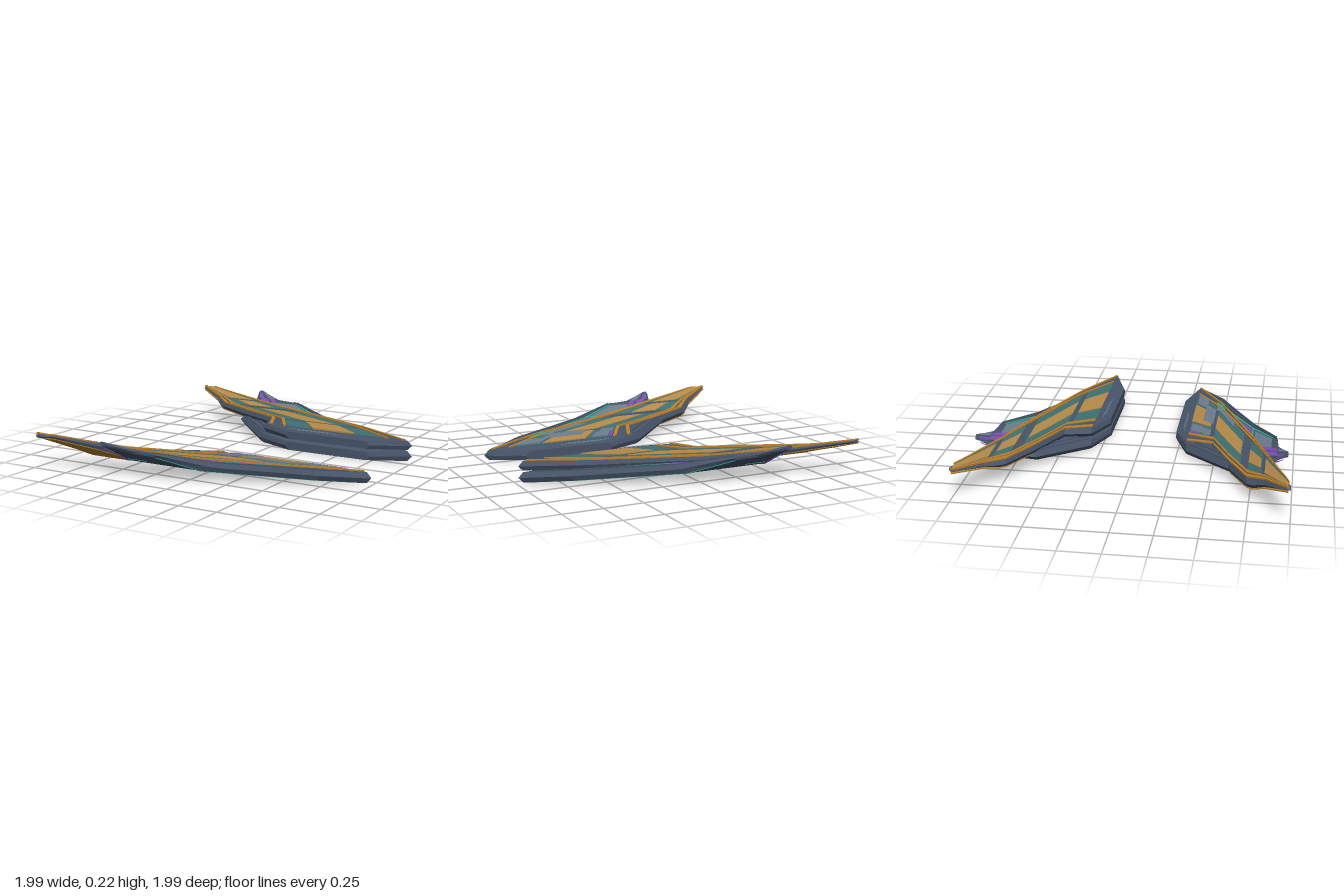
import * as THREE from 'three';

const material = (name, hex) => {
  const m = new THREE.MeshStandardMaterial({ color: hex });
  m.name = name;
  return m;
};
const slate = material('slate', 0x475468);
const teal = material('teal', 0x3f7072);
const gold = material('gold', 0xb58a4a);
const amber = material('amber', 0xb8802c);
const blueGrey = material('blue grey', 0x6b7d8d);
const purple = material('purple', 0x7d4fb5);
const mint = material('mint', 0x2fa890);

// A path lists [s, value] pairs, where s is the distance from the centre line.
const curve = (path) => (s) => {
  if (s <= path[0][0]) return path[0][1];
  for (let i = 1; i < path.length; i++) {
    const [a, u] = path[i - 1], [b, v] = path[i];
    if (s <= b) return u + (v - u) * (s - a) / (b - a);
  }
  return path[path.length - 1][1];
};
const raise = (f, d) => (s) => f(s) + d;

// Plan edges (x along s) of the two stacked wing plates
const broad = {
  left: [[0.22, 0.12], [0.31, -0.13], [0.6, -0.45], [0.74, -0.475], [0.85, -0.48], [0.968, -0.51]],
  right: [[0.22, 0.74], [0.31, 0.99], [0.49, 0.74], [0.895, -0.14], [0.905, -0.28], [0.968, -0.46]],
};
const slim = {
  left: [[0.22, 0.12], [0.31, -0.1], [0.48, -0.16], [0.6, -0.44], [0.73, -0.7], [0.84, -0.8], [0.975, -1], [0.995, -0.98]],
  right: [[0.22, 0.74], [0.31, 0.99], [0.5, 0.62], [0.73, 0], [0.93, -0.72], [0.995, -0.94]],
};

// Height profiles along s
const broadTop = [[0.22, 0.065], [0.31, 0.08], [0.73, 0.13], [0.9, 0.185], [0.97, 0.232]];
const broadBottom = [[0.22, 0.01], [0.33, 0.018], [0.77, 0.08], [0.97, 0.205]];
const slimTopHigh = [[0.22, 0.135], [0.31, 0.148], [0.73, 0.162], [0.84, 0.178], [0.99, 0.218]];
const slimBottomHigh = [[0.22, 0.085], [0.33, 0.09], [0.77, 0.12], [0.99, 0.2]];
const slimTopLow = [[0.22, 0.067], [0.31, 0.084], [0.73, 0.134], [0.97, 0.226]];
const slimBottomLow = [[0.22, 0.012], [0.33, 0.02], [0.77, 0.082], [0.97, 0.205]];

const paths = [broad.left, broad.right, slim.left, slim.right, broadTop, broadBottom,
  slimTopHigh, slimBottomHigh, slimTopLow, slimBottomLow];
const knots = [...new Set(paths.flat().map((p) => p[0]))].sort((a, b) => a - b);

// Solid lofted along s from bevelled six-sided sections
function loft(left, right, bottom, top, s0, s1, bevel, side) {
  const stations = [s0, ...knots.filter((k) => k > s0 + 1e-4 && k < s1 - 1e-4), s1];
  const rings = stations.map((s) => {
    const l = left(s), r = right(s), b = bottom(s), t = top(s), m = (b + t) / 2;
    const e = Math.min(bevel, (r - l) * 0.3);
    return [[l, m], [l + e, t], [r - e, t], [r, m], [r - e, b], [l + e, b]].map(([x, y]) => [x, y, s * side]);
  });
  const pos = [];
  const tri = (a, b, c) => pos.push(...a, ...(side > 0 ? b : c), ...(side > 0 ? c : b));
  for (let k = 0; k + 1 < rings.length; k++) {
    const A = rings[k], B = rings[k + 1];
    for (let i = 0; i < 6; i++) {
      const j = (i + 1) % 6;
      tri(A[i], B[j], A[j]);
      tri(A[i], B[i], B[j]);
    }
  }
  const first = rings[0], last = rings[rings.length - 1];
  for (let i = 1; i < 5; i++) {
    tri(first[0], first[i], first[i + 1]);
    tri(last[0], last[i + 1], last[i]);
  }
  const g = new THREE.BufferGeometry();
  g.setAttribute('position', new THREE.Float32BufferAttribute(pos, 3));
  g.computeVertexNormals();
  return g;
}

// One plate plus a painter for thin panels, placed by fractions across its width
function makePlate(group, name, plan, bottom, top, side) {
  const L = curve(plan.left), R = curve(plan.right), yb = curve(bottom), yt = curve(top);
  const add = (label, mat, geometry) => {
    const mesh = new THREE.Mesh(geometry, mat);
    mesh.name = label;
    group.add(mesh);
  };
  const end = plan.left[plan.left.length - 1][0];
  add(name, slate, loft(L, R, yb, yt, 0.22, end, 0.03, side));
  const across = (t) => (s) => L(s) + (R(s) - L(s)) * (typeof t === 'function' ? t(s) : t);
  return (label, mat, t0, t1, s0, s1, height = 0.003, under = false) => {
    const low = under ? raise(yb, -height) : raise(yt, -0.001);
    const high = under ? raise(yb, 0.001) : raise(yt, height);
    add(label, mat, loft(across(t0), across(t1), low, high, s0, s1, 0, side));
  };
}

// Edge trims: start fractions, and a width that grows where the edges sweep back
const innerTrim = curve([[0.31, 0.825], [0.48, 0.825], [0.73, 0.85], [0.99, 0.85]]);
const outerTrim = curve([[0.31, 0.935], [0.5, 0.915], [0.99, 0.915]]);
const trimWidth = curve([[0.31, 0.024], [0.48, 0.032], [0.6, 0.042], [0.84, 0.05], [0.99, 0.06]]);
const trims = [curve([[0.31, 0.045]]), curve([[0.31, 0.14], [0.6, 0.125]]), innerTrim, outerTrim];

function makeWing(side, stacked) {
  const wing = new THREE.Group();
  wing.name = stacked ? 'rightWing' : 'leftWing';

  // Broad lower plate with cool coloured inlays
  const lower = makePlate(wing, 'broadPlate', broad, broadBottom, broadTop, side);
  lower('outerPanel', blueGrey, 0.35, 0.79, 0.745, 0.86);
  lower('middlePanel', blueGrey, 0.3, 0.8, 0.5, 0.72);
  const wedge = curve([[0.57, 0.79], [0.725, 0.62]]);
  lower('leadingInlay', purple, wedge, 0.8, 0.57, 0.725, 0.005);
  lower('tipInlay', purple, 0.12, 0.29, 0.81, 0.945, 0.005);
  lower('tipInlay', purple, 0.33, 0.43, 0.8, 0.9, 0.005);
  lower('tipPanel', blueGrey, 0.5, 0.72, 0.905, 0.95);
  lower('crossLine', mint, 0.55, 0.82, 0.726, 0.738, 0.006);
  lower('leadingLine', mint, 0.815, 0.85, 0.45, 0.87, 0.005);
  for (const t of [0.88, 0.93]) lower('leadingRidge', slate, t, t + 0.025, 0.36, 0.89, 0.006);
  for (const t of [0.04, 0.1]) lower('trailingRidge', slate, t, t + 0.03, 0.33, 0.9, 0.006);
  lower('undersideLeadingLine', mint, 0.912, 0.95, 0.34, 0.89, 0.003, true);
  lower('undersideTrailingLine', purple, 0.045, 0.075, 0.33, 0.94, 0.003, true);
  lower('undersideCrossLine', mint, 0.1, 0.35, 0.795, 0.803, 0.003, true);

  // Slim upper plate with teal and gold inlays
  const upper = makePlate(wing, 'slimPlate', slim,
    stacked ? slimBottomHigh : slimBottomLow, stacked ? slimTopHigh : slimTopLow, side);
  for (const [s0, s1, height] of [[0.31, 0.452, 0.009], [0.48, 0.68, 0.006], [0.73, 0.815, 0.006]]) {
    upper('tealPanel', teal, 0.17, innerTrim, s0, s1, 0.003);
    upper('goldPanel', gold, 0.35, 0.63, s0, s1 - 0.006, height);
  }
  upper('tipTealPanel', teal, 0.12, innerTrim, 0.835, 0.97, 0.003);
  upper('tipGoldPanel', gold, 0.25, 0.74, 0.835, 0.98, 0.006);
  for (const t of trims) {
    upper('edgeTrim', amber, t, (s) => t(s) + trimWidth(s), 0.31, 0.985, 0.0085);
  }
  for (const [s, a, b] of [[0.262, 0.2, 0.55], [0.272, 0.15, 0.48]]) {
    upper('rootLine', blueGrey, a, b, s, s + 0.004);
  }

  // Amber underside where the slim tip reaches past the broad plate
  const reach = curve([[0.62, 0.08], [0.73, 0.35], [0.84, 0.82], [0.9, 0.95], [0.98, 0.95]]);
  upper('tipUnderside', amber, 0.03, reach, 0.62, 0.98, 0.004, true);

  // Inlays of the broad plate that show through where the plates merge
  if (!stacked) {
    upper('rootInlay', blueGrey, 0.2, 0.31, 0.32, 0.4, 0.0095);
    upper('rootInlay', blueGrey, 0.18, 0.29, 0.4, 0.455, 0.0095);
    upper('innerInlay', blueGrey, 0.42, 0.72, 0.385, 0.46, 0.0098);
    upper('leadingInlay', blueGrey, 0.66, 0.82, 0.32, 0.395, 0.0095);
    upper('leadingInlay', blueGrey, 0.73, innerTrim, 0.46, 0.6, 0.0075);
    upper('rootAccent', purple, 0.17, 0.195, 0.32, 0.37, 0.0098);
    upper('leadingAccent', mint, 0.76, 0.92, 0.492, 0.502, 0.0098);
  }
  return wing;
}

export function createModel() {
  const model = new THREE.Group();
  model.name = 'wingPair';
  model.add(makeWing(1, false), makeWing(-1, true));
  return model;
}
